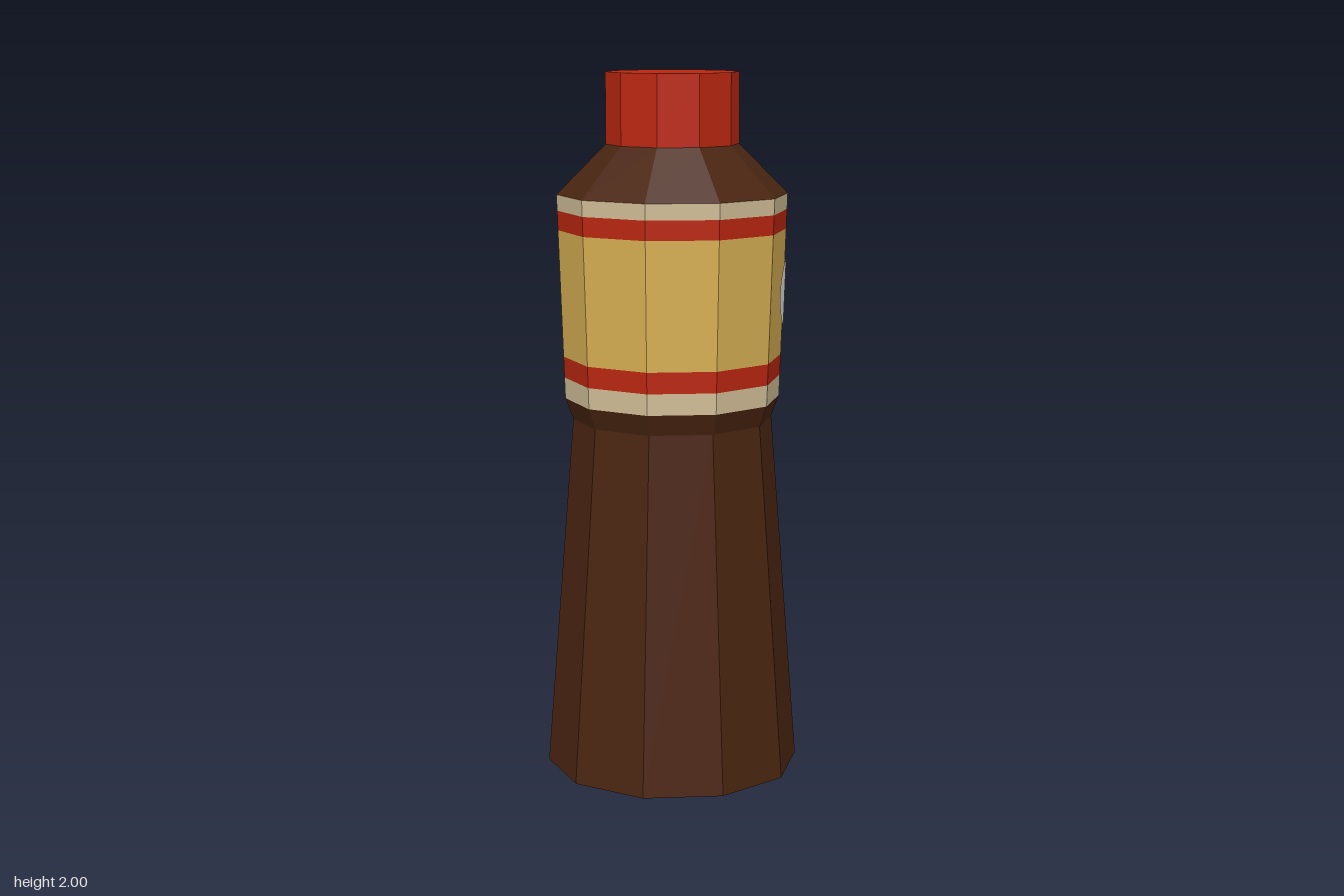
import * as THREE from 'three';

const SIDES = 10;

function material(name, color) {
  const m = new THREE.MeshStandardMaterial({ color });
  m.name = name;
  return m;
}

// Faceted geometry: every face keeps its own normal
function facet(geometry) {
  const g = geometry.toNonIndexed();
  g.computeVertexNormals();
  return g;
}

// Open ten-sided ring between two heights, with a corner facing the front
function ring(name, mat, y0, r0, y1, r1) {
  const g = new THREE.CylinderGeometry(r1, r0, y1 - y0, SIDES, 1, true);
  g.translate(0, (y0 + y1) / 2, 0);
  const mesh = new THREE.Mesh(facet(g), mat);
  mesh.name = name;
  return mesh;
}

// Ten-sided lid facing up or down
function disc(name, mat, y, r, up) {
  const g = new THREE.CircleGeometry(r, SIDES, Math.PI / 2);
  g.rotateX(up ? -Math.PI / 2 : Math.PI / 2);
  g.translate(0, y, 0);
  const mesh = new THREE.Mesh(facet(g), mat);
  mesh.name = name;
  return mesh;
}

// Corner radius of the label section at height y
const labelRadius = (y) => THREE.MathUtils.mapLinear(y, 1.08, 1.66, 0.307, 0.327);

// Oval badge that folds around the facets on the +x side
function badgeGeometry() {
  const cy = 1.38, cz = -0.015, halfW = 0.172, halfH = 0.13, lift = 0.004;
  const rad = THREE.MathUtils.degToRad;
  const fold = labelRadius(cy) * Math.sin(rad(18));
  const columns = [fold, -fold];
  for (let i = 0; i <= 32; i++) columns.push(cz + halfW * Math.cos((i / 32) * Math.PI));
  columns.sort((a, b) => b - a);

  const positions = [], index = [];
  const add = (z0, y) => {
    const r = labelRadius(y);
    const z = (z0 * r) / labelRadius(cy);
    const apothem = r * Math.cos(rad(18));
    const slanted = (apothem - Math.abs(z) * Math.sin(rad(36))) / Math.cos(rad(36));
    positions.push(Math.min(apothem, slanted) + lift, y, z);
  };
  columns.forEach((z, i) => {
    const t = (z - cz) / halfW;
    const h = halfH * Math.sqrt(Math.max(0, 1 - t * t));
    add(z, cy - h);
    add(z, cy + h);
    if (i > 0) {
      const a = 2 * i - 2;
      index.push(a, a + 2, a + 3, a, a + 3, a + 1);
    }
  });
  const g = new THREE.BufferGeometry();
  g.setAttribute('position', new THREE.Float32BufferAttribute(positions, 3));
  g.setIndex(index);
  return facet(g);
}

export function createModel() {
  const brown = material('brown glass', 0x4a2511);
  const red = material('red', 0xbc2710);
  const yellow = material('label yellow', 0xd8b054);
  const cream = material('label cream', 0xd2bf98);
  const white = material('badge white', 0xe4dfdf);

  const bottle = new THREE.Group();
  bottle.name = 'bottle';

  // Glass body
  bottle.add(
    disc('base', brown, 0, 0.365, false),
    ring('lowerBody', brown, 0, 0.365, 1.02, 0.285),
    ring('waist', brown, 1.02, 0.285, 1.08, 0.307),
    ring('shoulder', brown, 1.66, 0.327, 1.8, 0.188)
  );

  // Label, striped from bottom to top
  const label = new THREE.Group();
  label.name = 'label';
  const bands = [
    ['lowerCreamBand', cream, 1.08, 1.14],
    ['lowerRedBand', red, 1.14, 1.2],
    ['labelPanel', yellow, 1.2, 1.56],
    ['upperRedBand', red, 1.56, 1.615],
    ['upperCreamBand', cream, 1.615, 1.66],
  ];
  for (const [name, mat, y0, y1] of bands) {
    label.add(ring(name, mat, y0, labelRadius(y0), y1, labelRadius(y1)));
  }
  const badge = new THREE.Mesh(badgeGeometry(), white);
  badge.name = 'ovalBadge';
  label.add(badge);
  bottle.add(label);

  // Screw cap
  bottle.add(
    ring('capSide', red, 1.8, 0.188, 2, 0.188),
    disc('capTop', red, 2, 0.188, true)
  );

  return bottle;
}
